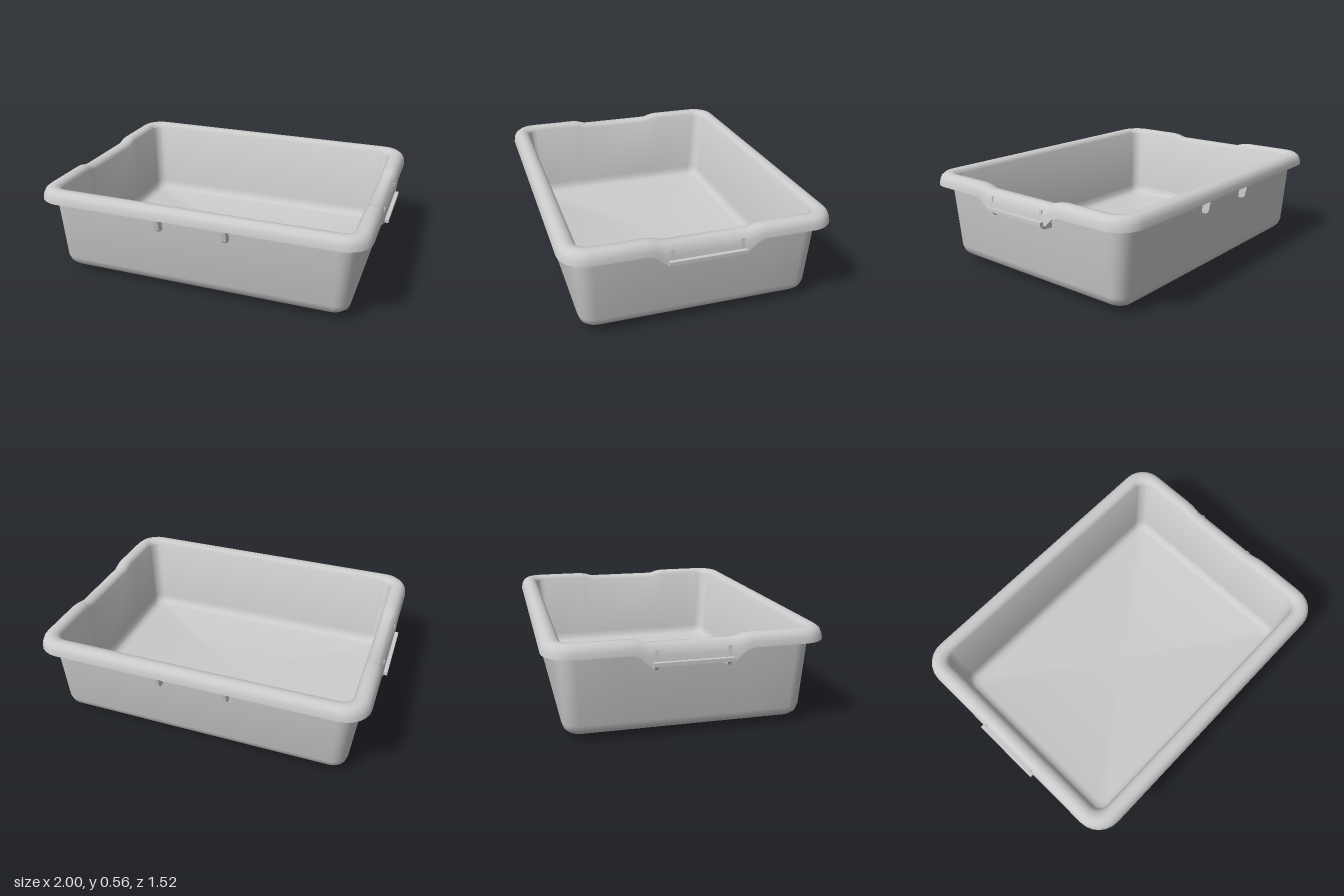
import * as THREE from 'three';
import { toCreasedNormals } from 'three/addons/utils/BufferGeometryUtils.js';

const material = new THREE.MeshStandardMaterial({ color: 0xcccccc, side: THREE.DoubleSide });

// Share of the handle dip at each z station of the short sides
const STATIONS = [[0.32, 0], [0.28, 0.25], [0.23, 1]];
const CORNER_STEPS = 6;

// Rounded rectangle loop, with its short sides lowered by "drop" in the middle
function loop([hx, hz, r, y, drop]) {
  const points = [];
  const corner = (sx, sz, start) => {
    for (let i = 0; i <= CORNER_STEPS; i++) {
      const a = start + (i / CORNER_STEPS) * Math.PI / 2;
      points.push([sx * (hx - r) + r * Math.cos(a), y, sz * (hz - r) + r * Math.sin(a)]);
    }
  };
  const side = (s) => {
    const half = STATIONS.map(([z, w]) => [s * hx, y - drop * w, s * z]);
    const before = half.map(([x, h, z]) => [x, h, -z]);
    points.push(...before, ...half.reverse());
  };
  side(1);
  corner(1, 1, 0);
  corner(-1, 1, Math.PI / 2);
  side(-1);
  corner(-1, -1, Math.PI);
  corner(1, -1, Math.PI * 1.5);
  return points;
}

// Closed skin through a series of loops, with a fan at each end
function loft(sections) {
  const loops = sections.map(loop);
  const n = loops[0].length, last = loops.length - 1;
  const positions = loops.flat(2);
  const index = [];
  const c0 = n * loops.length, c1 = c0 + 1;
  positions.push(0, sections[0][3], 0, 0, sections[last][3], 0);
  for (let j = 0; j < n; j++) {
    const k = (j + 1) % n;
    index.push(c0, j, k);
    for (let i = 0; i < last; i++) {
      const a = i * n + j, b = i * n + k;
      index.push(a, a + n, b, a + n, b + n, b);
    }
    index.push(last * n + j, c1, last * n + k);
  }
  const geometry = new THREE.BufferGeometry();
  geometry.setAttribute('position', new THREE.Float32BufferAttribute(positions, 3));
  geometry.setIndex(index);
  return toCreasedNormals(geometry, 0.75);
}

function createModel() {
  const group = new THREE.Group();
  const add = (name, geometry) => {
    const mesh = new THREE.Mesh(geometry, material);
    mesh.name = name;
    group.add(mesh);
    return mesh;
  };

  // Tub and rolled rim: half width, half depth, corner radius, height, handle dip
  add('tub', loft([
    [0.825, 0.605, 0.06, 0.04, 0],
    [0.853, 0.633, 0.07, 0.045, 0],
    [0.875, 0.652, 0.08, 0.065, 0],
    [0.885, 0.664, 0.085, 0.1, 0],
    [0.912, 0.692, 0.1, 0.53, 0.02],
    [0.955, 0.735, 0.14, 0.53, 0.02],
    [0.968, 0.748, 0.14, 0.49, 0.06],
    [0.98, 0.76, 0.15, 0.49, 0.06],
    [0.976, 0.756, 0.15, 0.52, 0.04],
    [0.965, 0.745, 0.14, 0.543, 0.025],
    [0.945, 0.725, 0.12, 0.558, 0.02],
    [0.92, 0.70, 0.1, 0.56, 0.02],
    [0.895, 0.675, 0.08, 0.555, 0.02],
    [0.876, 0.656, 0.065, 0.535, 0.02],
    [0.856, 0.636, 0.065, 0.12, 0],
    [0.846, 0.626, 0.065, 0.085, 0],
    [0.83, 0.61, 0.06, 0.067, 0],
    [0.80, 0.58, 0.05, 0.06, 0],
  ]));

  // Tapered runners under the floor
  for (const z of [-0.41, -0.137, 0.137, 0.41]) {
    const geometry = new THREE.BoxGeometry(1.33, 0.045, 0.22);
    const p = geometry.attributes.position;
    for (let i = 0; i < p.count; i++) {
      if (p.getY(i) < 0) p.setXYZ(i, p.getX(i) * 0.95, p.getY(i), p.getZ(i) * 0.7);
    }
    geometry.computeVertexNormals();
    add('runner', geometry).position.set(0, 0.0225, z);
  }

  // Grip lips at the short ends
  for (const s of [-1, 1]) {
    add('gripLip', new THREE.BoxGeometry(0.03, 0.02, 0.43)).position.set(s * 0.985, 0.44, 0);
  }

  // Upright ribs bracing the rim; the profile's x points away from the tub
  const rib = (name, profile, x, z, angle, width) => {
    const shape = new THREE.Shape(profile.map(([u, v]) => new THREE.Vector2(u, v)));
    const geometry = new THREE.ExtrudeGeometry(shape, { depth: width, bevelEnabled: false });
    geometry.translate(0, 0, -width / 2);
    const mesh = add(name, geometry);
    mesh.position.set(x, 0, z);
    mesh.rotation.y = angle;
  };
  const tall = [[0, 0.405], [0.03, 0.405], [0.046, 0.418], [0.06, 0.485], [0.063, 0.53], [0, 0.53]];
  const grip = [[0, 0.40], [0.055, 0.40], [0.07, 0.415], [0.08, 0.44], [0.073, 0.51], [0, 0.51]];
  const short = [[-0.01, 0.495], [0.055, 0.495], [0.05, 0.53], [-0.01, 0.53]];
  for (const s of [-1, 1]) {
    for (const t of [-1, 1]) {
      rib('longSideRib', tall, t * 0.2, s * 0.682, -s * Math.PI / 2, 0.026);
      rib('gripRib', grip, s * 0.9, t * 0.193, s > 0 ? 0 : Math.PI, 0.02);
      rib('cornerRib', short, s * 0.883, t * 0.663, Math.atan2(-t, s), 0.02);
    }
  }
  return group;
}

export { createModel };
